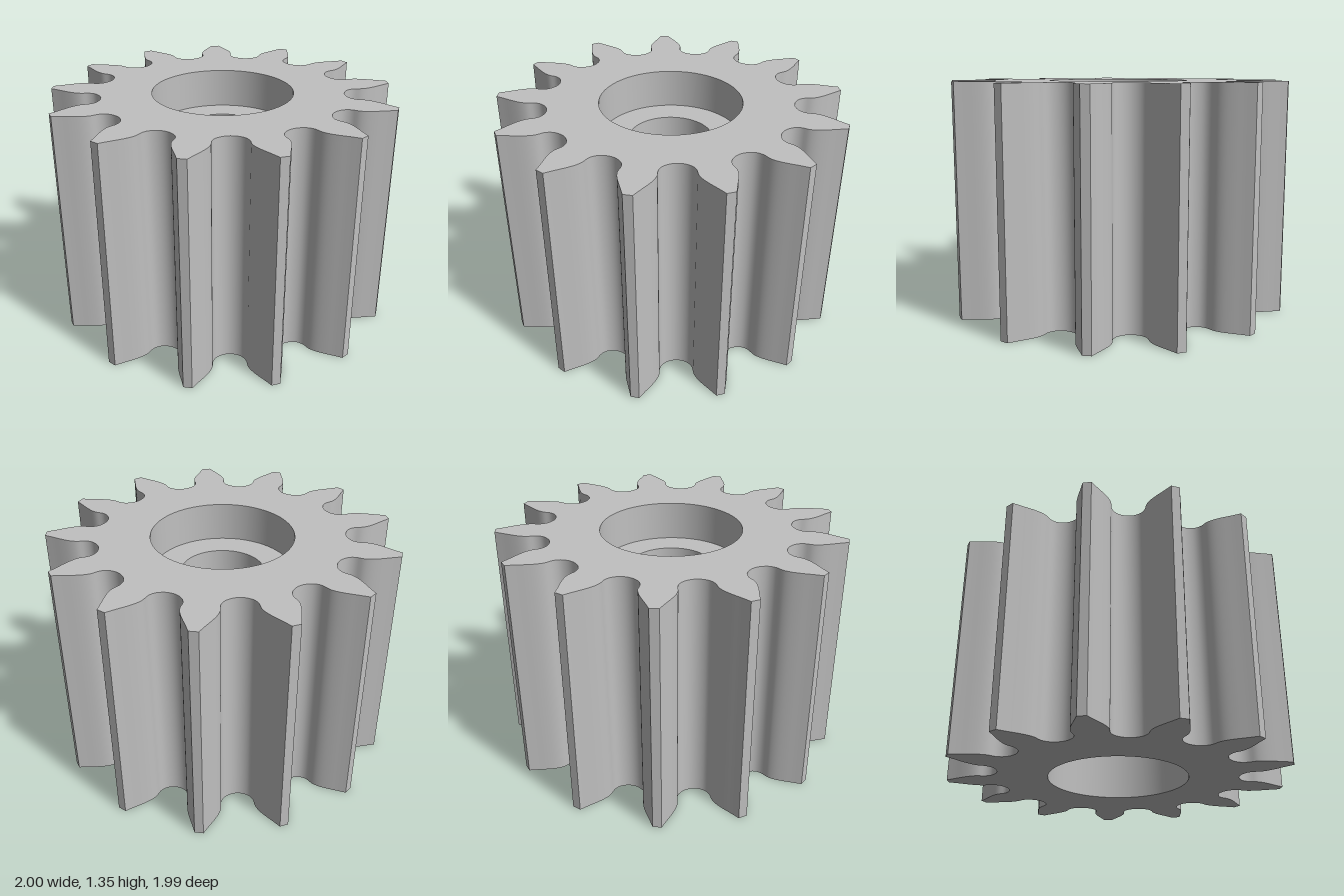
import * as THREE from 'three';
import { toCreasedNormals } from 'three/addons/utils/BufferGeometryUtils.js';

const TEETH = 13;
const HEIGHT = 1.35;
const RECESS_R = 0.41;
const BORE_R = 0.243;
const WEB_TOP = 1.12;
const WEB_BOTTOM = 0.75;
const CENTRE_Z = -0.015;

// Half of one gap between teeth: [sideways offset, radius along the gap's centre line]
const HALF_GAP = [
  [0.04, 0.708], [0.075, 0.731], [0.094, 0.766], [0.099, 0.81],
  [0.116, 0.85], [0.146, 0.893], [0.182, 0.937], [0.216, 0.981],
];

function gearOutline() {
  const mirrored = HALF_GAP.map(([u, r]) => [-u, r]).reverse();
  const gap = [...mirrored, [0, 0.7], ...HALF_GAP].map(([u, r]) => new THREE.Vector2(u, r));
  const samples = new THREE.SplineCurve(gap).getPoints(48);
  const step = (Math.PI * 2) / TEETH;
  const points = [];
  // Repeat the gap round the axis; the straight joins between gaps are the tooth tips
  for (let i = 0; i < TEETH; i++) {
    const a = -Math.PI / 2 + (i + 0.5) * step;
    const c = Math.cos(a), s = Math.sin(a);
    for (const p of samples) points.push(new THREE.Vector2(p.y * c - p.x * s, p.y * s + p.x * c));
  }
  return points;
}

export function createModel() {
  const steel = new THREE.MeshStandardMaterial({ color: 0xc0c0c0 });
  steel.name = 'grey steel';

  const group = new THREE.Group();
  group.name = 'pinionGear';
  group.position.z = CENTRE_Z;

  // Toothed body with a wide round opening
  const shape = new THREE.Shape(gearOutline());
  const opening = new THREE.Path();
  opening.absarc(0, 0, RECESS_R, 0, Math.PI * 2, true);
  shape.holes.push(opening);
  const bodyGeometry = new THREE.ExtrudeGeometry(shape, {
    depth: HEIGHT, bevelEnabled: false, curveSegments: 48,
  });
  bodyGeometry.rotateX(-Math.PI / 2);
  const body = new THREE.Mesh(toCreasedNormals(bodyGeometry, Math.PI / 6), steel);
  body.name = 'toothedBody';
  group.add(body);

  // Inner web with the narrower shaft bore, set between the two recesses
  const profile = [
    [RECESS_R, WEB_TOP], [BORE_R, WEB_TOP], [BORE_R, WEB_BOTTOM], [RECESS_R, WEB_BOTTOM],
  ].map(([r, y]) => new THREE.Vector2(r, y));
  const web = new THREE.Mesh(
    toCreasedNormals(new THREE.LatheGeometry(profile, 96), Math.PI / 6), steel);
  web.name = 'boreWeb';
  group.add(web);

  return group;
}
